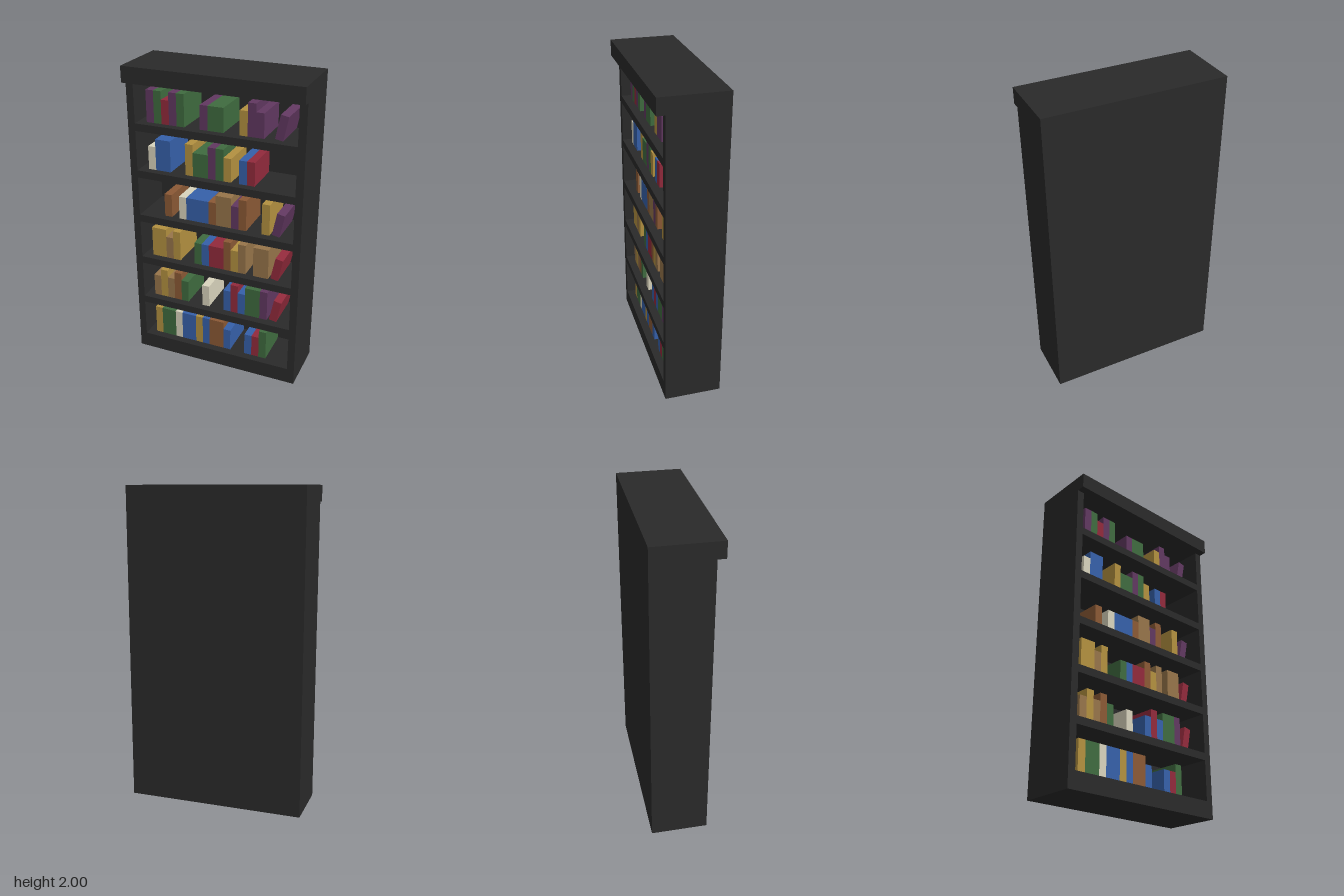
import * as THREE from 'three';

const mat = (name, color) => {
  const m = new THREE.MeshStandardMaterial({ color });
  m.name = name;
  return m;
};

export function createModel() {
  const black = mat('blackWood', 0x2a2a2a);
  const covers = {
    P: mat('purpleCover', 0x613860),
    G: mat('greenCover', 0x3f6b3f),
    R: mat('redCover', 0x922a3c),
    Y: mat('goldCover', 0xb39140),
    T: mat('tanCover', 0x97754a),
    B: mat('brownCover', 0x8b5935),
    U: mat('blueCover', 0x3660aa),
    W: mat('ivoryCover', 0xd9d4bd),
  };

  const model = new THREE.Group();
  model.name = 'bookcase';
  const box = (parent, name, material, w, h, d, x, y, z) => {
    const mesh = new THREE.Mesh(new THREE.BoxGeometry(w, h, d), material);
    mesh.name = name;
    mesh.position.set(x, y, z);
    parent.add(mesh);
    return mesh;
  };

  // Carcass: back, sides and overhanging cornice
  const W = 1.125, SIDE = 0.047, BACK = -0.205, FRONT = 0.155, TOP = 1.9;
  const inner = W - 2 * SIDE;
  box(model, 'cornice', black, W, 2 - TOP, 0.41, 0, (2 + TOP) / 2, 0);
  box(model, 'backPanel', black, inner, TOP, 0.05, 0, TOP / 2, BACK + 0.025);
  for (const s of [-1, 1]) {
    box(model, s < 0 ? 'rightSide' : 'leftSide', black, SIDE, TOP, FRONT - BACK,
      s * (W - SIDE) / 2, TOP / 2, (FRONT + BACK) / 2);
  }

  // Rows from the bottom up. Each book is colour + slot span + size:
  // capital T/S after the colour = tall/short, trailing 2 = double width, '-' = empty slot.
  const rows = [
    'YT GT2 WT UT2 YT UT BT2 US - - US RS GT',
    'TS YT TS BT GS - - WS - - US RT US GT2 PT /R',
    'YT YT TS YT - - GS US RS2 BT YS TT - TT2 /R',
    '- - BS - WS US US2 BS TT2 PS BT - - YT /P',
    'WS UT2 - - YT GS2 PT GT YS - US RS',
    'PT GT RS PT GT - - PS GS2 - - YS PT PS /P',
  ];
  const SLOT = 0.0505, START = -0.46, DEPTH = 0.25, BOOK_Z = -0.02;
  const shelfDepth = FRONT - BACK - 0.05;

  rows.forEach((row, r) => {
    const floor = 0.106 + r * 0.307;

    // Bottom row sits on a solid plinth, the others on thin shelves
    const thick = r === 0 ? floor : 0.048;
    box(model, r === 0 ? 'plinth' : 'shelf', black, inner, thick, shelfDepth,
      0, floor - thick / 2, FRONT - shelfDepth / 2);

    const books = new THREE.Group();
    books.name = 'bookRow' + (r + 1);
    model.add(books);
    let slot = 0;
    for (const code of row.split(' ')) {
      if (code[0] === '/') {
        // Leaning book at the end of the row
        const book = box(books, 'leaningBook', covers[code[1]], 0.05, 0.15, DEPTH,
          0.403, floor + 0.079, BOOK_Z);
        book.rotation.z = -0.2;
        continue;
      }
      const span = code[2] ? 2 : 1;
      if (code !== '-') {
        const h = code[1] === 'T' ? 0.203 : 0.152;
        box(books, 'book', covers[code[0]], span * SLOT, h, DEPTH,
          START + (slot + span / 2) * SLOT, floor + h / 2, BOOK_Z);
      }
      slot += span;
    }
  });

  return model;
}
